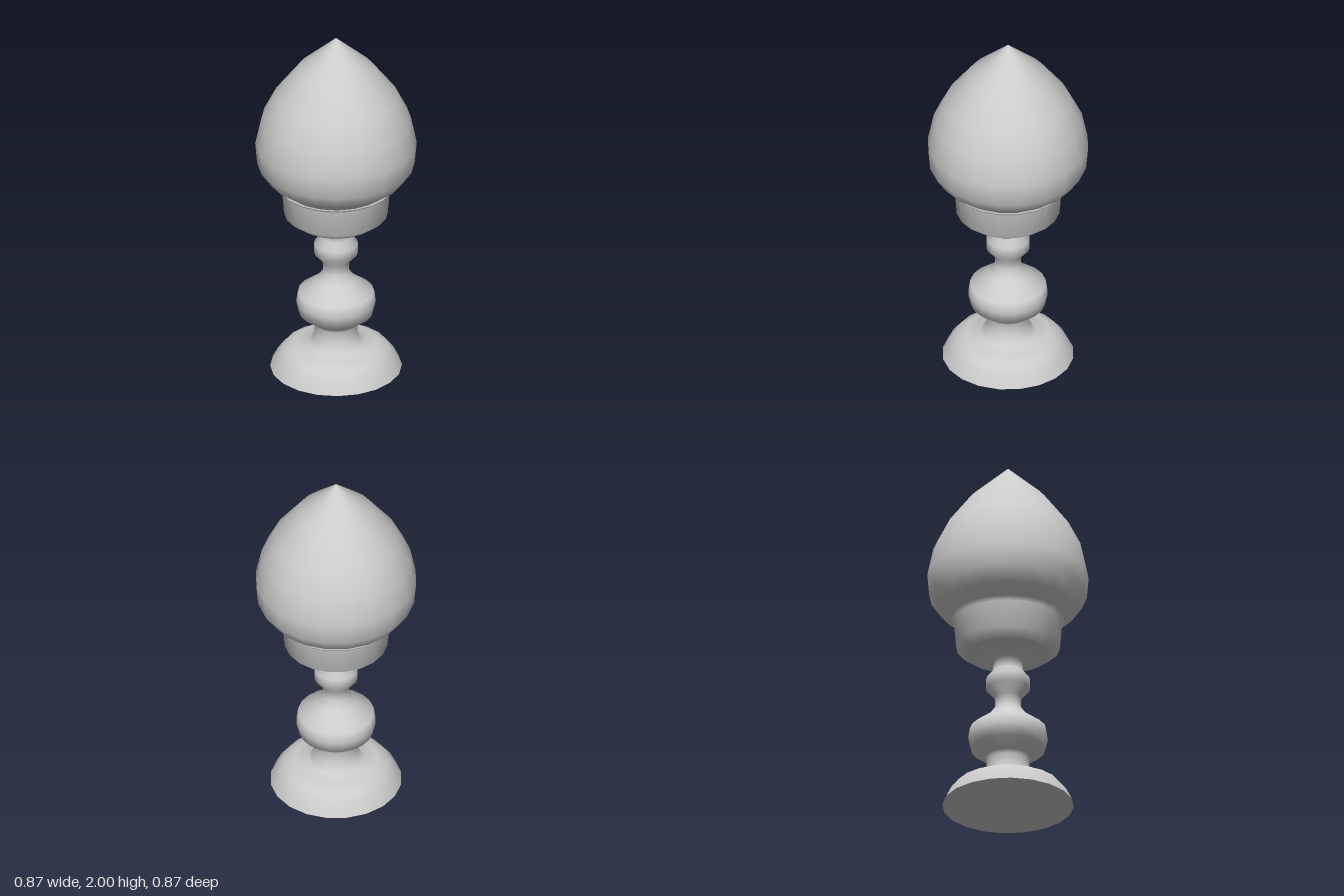
import * as THREE from 'three';

const SIDES = 20;

export function createModel() {
  const group = new THREE.Group();
  const material = new THREE.MeshStandardMaterial({ color: 0xcccccc, side: THREE.DoubleSide });

  const add = (name, geometry) => {
    const mesh = new THREE.Mesh(geometry, material);
    mesh.name = name;
    group.add(mesh);
  };
  // Smooth turned part from [radius, height] pairs, listed bottom to top
  const turn = (name, profile) =>
    add(name, new THREE.LatheGeometry(profile.map(([r, y]) => new THREE.Vector2(r, y)), SIDES));

  // Flat underside
  add('underside', new THREE.CircleGeometry(0.355, SIDES).rotateX(Math.PI / 2));

  // Domed foot flowing into the baluster stem and the cup
  turn('footStemAndCup', [
    [0.355, 0], [0.325, 0.06], [0.285, 0.11], [0.225, 0.14], [0.147, 0.14],
    [0.117, 0.2], [0.117, 0.26], [0.13, 0.28], [0.2, 0.33], [0.215, 0.395], [0.205, 0.455],
    [0.105, 0.53], [0.07, 0.58], [0.072, 0.64],
    [0.118, 0.69], [0.118, 0.75], [0.085, 0.79], [0.073, 0.86],
    [0.22, 0.89], [0.28, 0.935], [0.292, 1.085], [0.312, 1.105],
  ]);

  // Narrow ledge inside the cup's lip
  turn('cupRim', [[0.312, 1.105], [0.27, 1.095]]);

  // Pointed bulb seated in the cup
  turn('bulb', [
    [0.27, 1.085], [0.295, 1.105], [0.37, 1.16], [0.425, 1.24], [0.435, 1.36],
    [0.403, 1.51], [0.335, 1.645], [0.205, 1.815], [0, 2],
  ]);

  return group;
}
